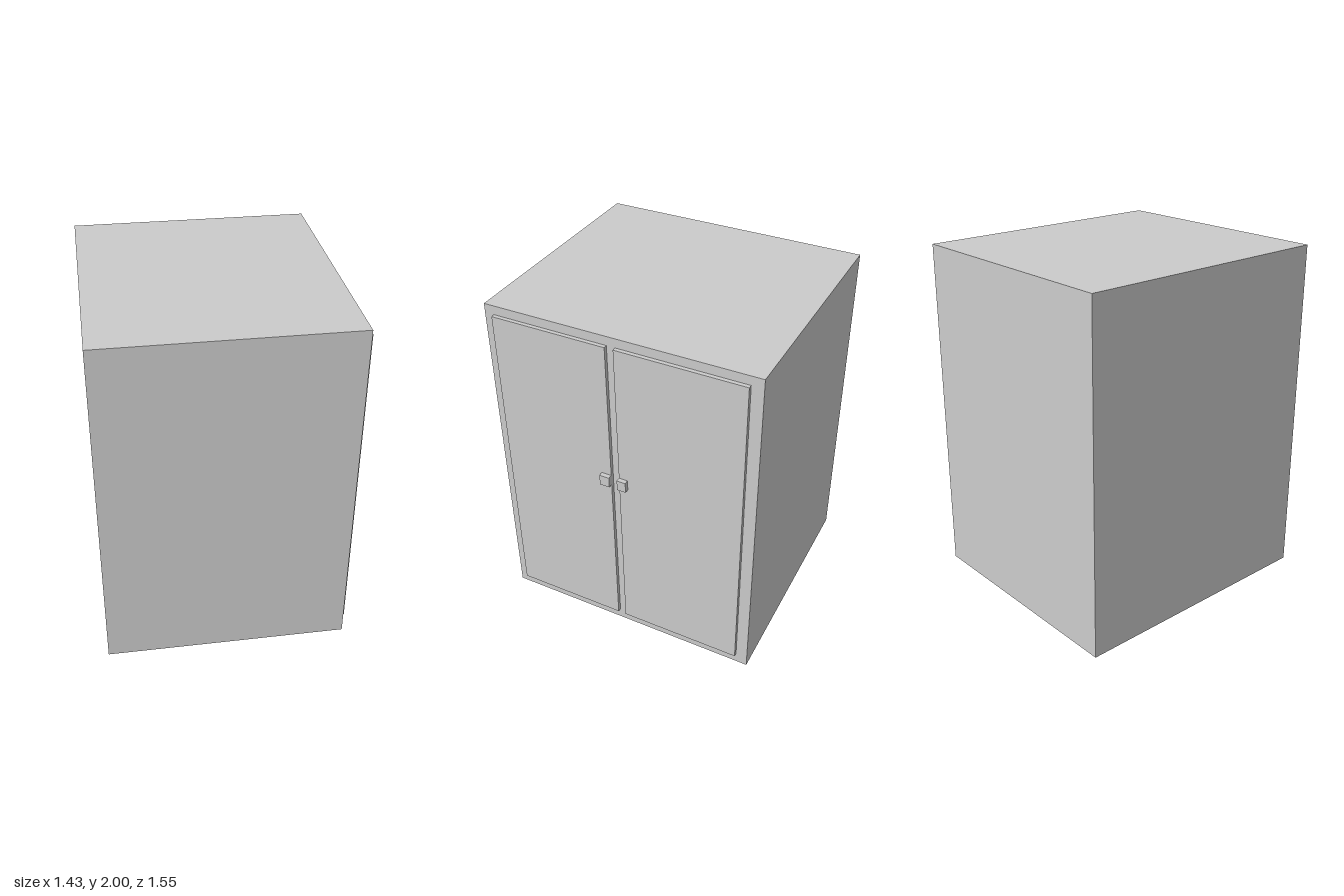
import * as THREE from 'three';

export function createModel() {
  const group = new THREE.Group();
  const material = new THREE.MeshStandardMaterial({ color: 0xcccccc, flatShading: true });

  // Box given by its min and max along each axis
  const addBox = (name, [x0, x1], [y0, y1], [z0, z1]) => {
    const mesh = new THREE.Mesh(new THREE.BoxGeometry(x1 - x0, y1 - y0, z1 - z0), material);
    mesh.position.set((x0 + x1) / 2, (y0 + y1) / 2, (z0 + z1) / 2);
    mesh.name = name;
    group.add(mesh);
  };

  // Cabinet body
  addBox('cabinetBody', [-0.716, 0.668], [0, 2], [-0.777, 0.777]);

  // Two doors on the +x side, each with a handle flush with its inner edge
  const doors = [
    { side: 'front', door: [0.057, 0.722], handle: [0.057, 0.115] },
    { side: 'back', door: [-0.71, 0.009], handle: [-0.043, 0.009] },
  ];
  for (const { side, door, handle } of doors) {
    addBox(`${side}Door`, [0.668, 0.69], [0.065, 1.948], door);
    addBox(`${side}Handle`, [0.69, 0.716], [1.074, 1.138], handle);
  }

  return group;
}
